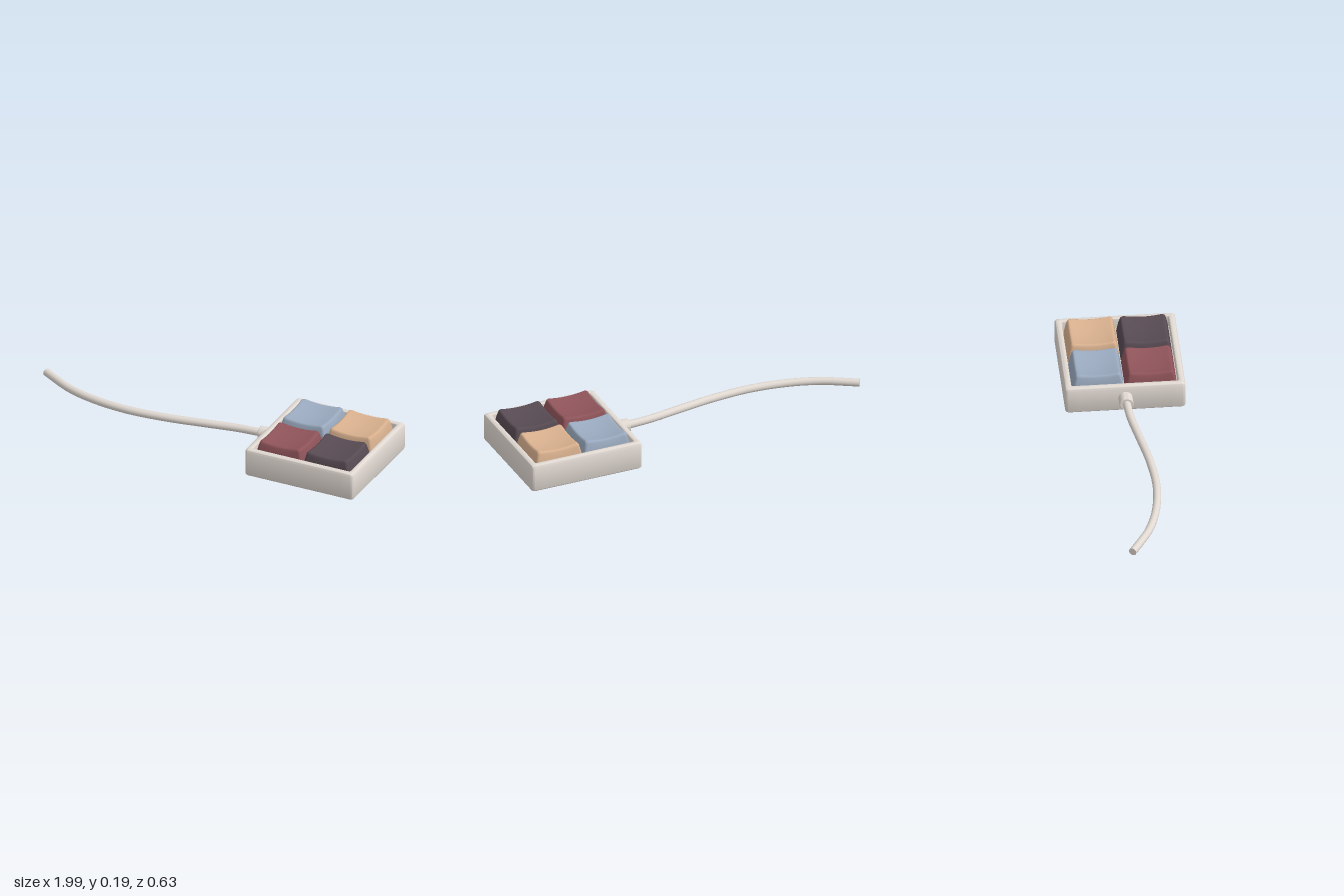
import * as THREE from 'three';
import { toCreasedNormals } from 'three/addons/utils/BufferGeometryUtils.js';

const material = (color) => new THREE.MeshStandardMaterial({ color });

// Outline of a rounded square: half size h, corner radius r, same point count for every size
function roundedSquare(h, r, arc = 6, edge = 10) {
  const points = [];
  const corner = (k, t) => {
    const mid = Math.PI / 4 + k * Math.PI / 2;
    const a = k * Math.PI / 2 + t * Math.PI / 2;
    const c = (h - r) * Math.SQRT2;
    return new THREE.Vector2(Math.cos(mid) * c + Math.cos(a) * r, Math.sin(mid) * c + Math.sin(a) * r);
  };
  for (let k = 0; k < 4; k++) {
    for (let i = 0; i <= arc; i++) points.push(corner(k, i / arc));
    const from = corner(k, 1), to = corner(k + 1, 0);
    for (let i = 1; i < edge; i++) points.push(from.clone().lerp(to, i / edge));
  }
  return points;
}

// Skin over rounded-square rings [half size, y, corner radius, dish weight]
function loft(rings) {
  const position = [], index = [];
  let n = 0;
  rings.forEach(([h, y, r, dish = 0], j) => {
    const outline = roundedSquare(h, r);
    n = outline.length;
    outline.forEach((p, i) => {
      position.push(p.x, y + dish * p.lengthSq(), p.y);
      if (j === 0) return;
      const a = (j - 1) * n + i, b = (j - 1) * n + (i + 1) % n;
      index.push(a, a + n, b, b, a + n, b + n);
    });
  });
  const geometry = new THREE.BufferGeometry();
  geometry.setAttribute('position', new THREE.Float32BufferAttribute(position, 3));
  geometry.setIndex(index);
  geometry.computeVertexNormals();
  return geometry;
}

// Quarter-round rings from angle a0 to a1 around a bevel centre
function bevel(h, y, radius, a0, a1, cornerRadius, steps = 5) {
  return Array.from({ length: steps + 1 }, (_, i) => {
    const a = a0 + (a1 - a0) * i / steps;
    return [h + Math.cos(a) * radius, y + Math.sin(a) * radius, cornerRadius];
  });
}

function add(group, name, geometry, mat, x = 0, y = 0, z = 0) {
  const mesh = new THREE.Mesh(geometry, mat);
  mesh.name = name;
  mesh.position.set(x, y, z);
  group.add(mesh);
  return mesh;
}

export function createModel() {
  const model = new THREE.Group();
  model.name = 'fourKeyPad';
  const shell = material(0xe0d8d1);
  const cx = 0.68, half = 0.315, height = 0.155, b = 0.015;

  // Tray: rounded case with a sunken floor
  const trayRings = [
    [0, 0, 0],
    ...bevel(half - b, b, b, -Math.PI / 2, 0, 0.016),
    ...bevel(half - b, height - b, b, 0, Math.PI / 2, 0.016),
    ...bevel(0.287, height - 0.006, 0.006, Math.PI / 2, Math.PI, 0.01, 3),
    [0.281, 0.09, 0.01],
    [0, 0.09, 0],
  ];
  add(model, 'tray', toCreasedNormals(loft(trayRings), 0.7), shell, cx);

  // Keycaps: tapered, with softly rounded edges and a dished top
  const k = 1.0;
  const capRings = [
    [0.137, 0.09, 0.012], [0.1275, 0.15, 0.014],
    [0.121, 0.152, 0.016, k], [0.119, 0.16, 0.017, k], [0.1155, 0.167, 0.018, k],
    [0.111, 0.1705, 0.019, k], [0.105, 0.172, 0.02, k],
    ...[0.09, 0.07, 0.05, 0.025, 0].map((h) => [h, 0.172, h * 0.19, k]),
  ];
  const capGeometry = loft(capRings);
  const caps = [
    ['backRightKey', 0x9aaabf, -1, -1], ['backLeftKey', 0xd8b08e, 1, -1],
    ['frontRightKey', 0x8f545a, -1, 1], ['frontLeftKey', 0x584b53, 1, 1],
  ];
  for (const [name, color, sx, sz] of caps) {
    add(model, name, capGeometry, material(color), cx + sx * 0.1365, sz < 0 ? 0.002 : 0, 0.0025 + sz * 0.1385);
  }

  // Cable collar
  const collarProfile = [[0, -0.035], [0.034, -0.035], [0.037, -0.032], [0.037, 0.04], [0, 0.04]]
    .map(([r, y]) => new THREE.Vector2(r, y));
  const collar = add(model, 'cableCollar', toCreasedNormals(new THREE.LatheGeometry(collarProfile, 32), 0.6), shell, 0.338, 0.084, 0);
  collar.rotation.z = -Math.PI / 2;

  // Cable: a gentle S lying level, closed at its free end
  const path = new THREE.CatmullRomCurve3([
    [0.34, 0], [0.19, 0.01], [0, 0.042], [-0.2, 0.075], [-0.43, 0.09],
    [-0.64, 0.065], [-0.8, 0.015], [-0.91, -0.045], [-0.98, -0.087],
  ].map(([x, z]) => new THREE.Vector3(x, 0.086, z)));
  const radius = 0.021;
  add(model, 'cable', new THREE.TubeGeometry(path, 80, radius, 20), shell);
  const end = path.getPoint(1);
  const cap = add(model, 'cableEnd', new THREE.CircleGeometry(radius, 20), shell, end.x, end.y, end.z);
  cap.lookAt(end.clone().add(path.getTangent(1)));

  return model;
}
